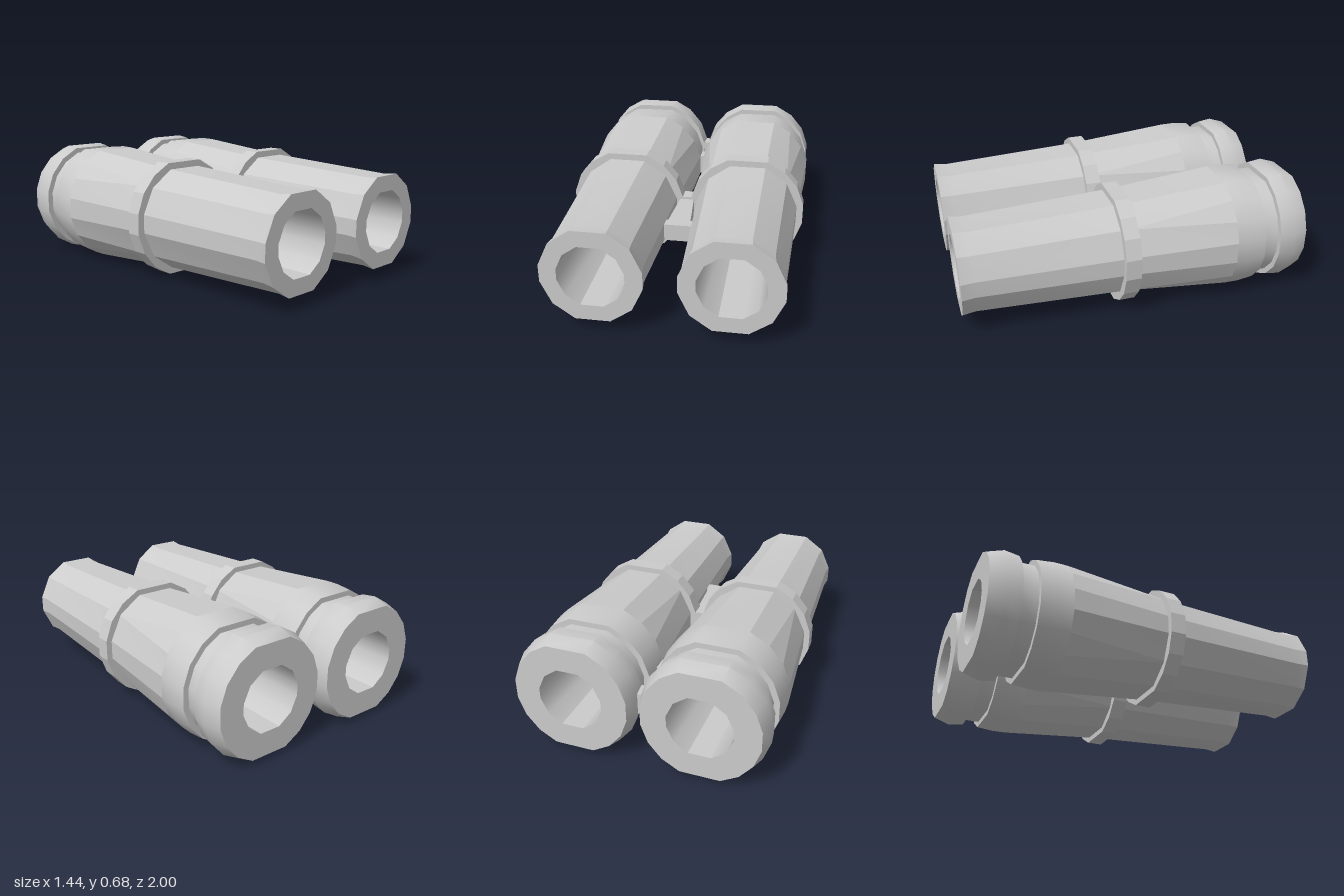
import * as THREE from 'three';
import { toCreasedNormals } from 'three/addons/utils/BufferGeometryUtils.js';

const CENTRE_X = 0.365, CENTRE_Y = 0.34;

// Cross-section angles: sixteen corners, flat on top and bottom.
// In the coarse version the two diagonal corners merge into one.
const mirrorAngles = (q) => [
  ...q, ...q.map((a) => 180 - a).reverse(),
  ...q.map((a) => 180 + a), ...q.map((a) => 360 - a).reverse(),
].map(THREE.MathUtils.degToRad);
const FINE = mirrorAngles([10, 30, 50, 70]);
const COARSE = mirrorAngles([10, 40, 40, 70]);

// Skin a list of [z, radius, angles] rings.
function loft(rings, crease) {
  const pos = [];
  const pts = rings.map(([z, r, angles]) =>
    angles.map((a) => new THREE.Vector3(r * Math.cos(a), r * Math.sin(a), z)));
  const tri = (a, b, c) => {
    const gap = Math.min(a.distanceTo(b), b.distanceTo(c), c.distanceTo(a));
    if (gap > 1e-6) for (const p of [a, b, c]) pos.push(p.x, p.y, p.z);
  };
  for (let i = 0; i < pts.length - 1; i++) {
    for (let j = 0; j < 16; j++) {
      const k = (j + 1) % 16;
      const a = pts[i][j], b = pts[i][k], c = pts[i + 1][k], d = pts[i + 1][j];
      tri(a, d, b);
      tri(b, d, c);
    }
  }
  const geo = new THREE.BufferGeometry();
  geo.setAttribute('position', new THREE.Float32BufferAttribute(pos, 3));
  return toCreasedNormals(geo, crease);
}

export function createModel() {
  const model = new THREE.Group();
  model.name = 'binoculars';
  const material = new THREE.MeshStandardMaterial({ color: 0xcccccc });
  const add = (parent, name, geo, x = 0, y = 0, z = 0) => {
    const mesh = new THREE.Mesh(geo, material);
    mesh.name = name;
    mesh.position.set(x, y, z);
    parent.add(mesh);
    return mesh;
  };

  // Faceted tapering barrel with a small lip at the front
  const barrel = loft([
    [1, 0.28, COARSE], [0.93, 0.271, COARSE], [0.075, 0.308, COARSE],
    [-0.55, 0.359, FINE],
  ], 0.2);
  // Raised band round the middle
  const collar = loft([
    [0.115, 0.29, FINE], [0.115, 0.346, FINE], [0.025, 0.346, FINE], [0.025, 0.29, FINE],
  ], 0.2);
  // Smooth rear housing, groove and flared end cup
  const housing = loft([
    [-0.55, 0.359, FINE], [-0.63, 0.36, FINE], [-0.73, 0.35, FINE], [-0.73, 0.317, FINE],
    [-0.825, 0.317, FINE], [-0.825, 0.349, FINE], [-0.91, 0.36, FINE], [-1, 0.331, FINE],
  ], 0.6);
  // Through hole with both end faces
  const bore = loft([
    [-1, 0.331, FINE], [-1, 0.184, COARSE], [1, 0.184, COARSE], [1, 0.28, COARSE],
  ], 0.6);

  for (const side of [1, -1]) {
    const tube = new THREE.Group();
    tube.name = side > 0 ? 'leftTube' : 'rightTube';
    tube.position.set(side * CENTRE_X, CENTRE_Y, 0);
    add(tube, 'barrel', barrel);
    add(tube, 'collar', collar);
    add(tube, 'rearHousing', housing);
    add(tube, 'bore', bore);
    model.add(tube);
  }

  // Cross bar and the tapering hinge behind it
  add(model, 'crossBar', new THREE.BoxGeometry(0.17, 0.1, 0.065), 0, CENTRE_Y, 0.43);
  const hinge = new THREE.BoxGeometry(0.13, 0.1, 0.36);
  const p = hinge.attributes.position;
  for (let i = 0; i < p.count; i++) if (p.getZ(i) < 0) p.setX(i, p.getX(i) * 0.55);
  hinge.computeVertexNormals();
  add(model, 'hinge', hinge, 0, CENTRE_Y, 0.22);

  // Small webs joining the tubes where they nearly touch
  for (const z of [0.07, -0.6, -0.87]) {
    add(model, 'web', new THREE.BoxGeometry(0.06, 0.125, 0.085), 0, CENTRE_Y + 0.002, z);
  }
  return model;
}
